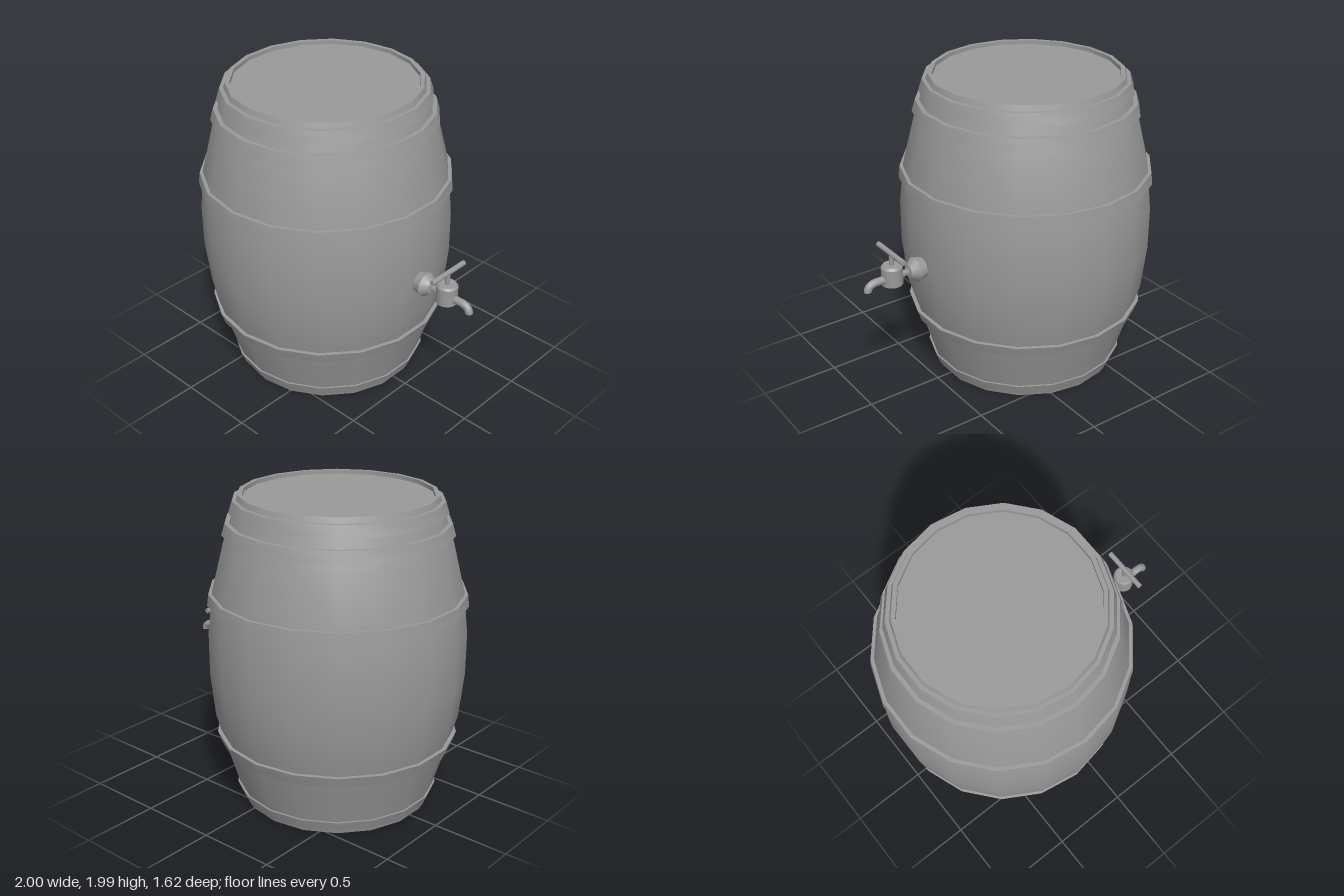
import * as THREE from 'three';
import { toCreasedNormals } from 'three/addons/utils/BufferGeometryUtils.js';

const material = new THREE.MeshStandardMaterial({ color: 0x999999 });

function addMesh(parent, name, geometry) {
  const mesh = new THREE.Mesh(geometry, material);
  mesh.name = name;
  parent.add(mesh);
  return mesh;
}

// Turned shape from [radius, height] pairs, listed from bottom to top
function turned(profile, sides) {
  const points = profile.map(([r, y]) => new THREE.Vector2(r, y));
  return toCreasedNormals(new THREE.LatheGeometry(points, sides), 0.6);
}

export function createModel() {
  const model = new THREE.Group();
  model.name = 'barrelWithTap';

  const barrel = new THREE.Group();
  barrel.name = 'barrel';
  barrel.position.x = -0.205;
  model.add(barrel);

  // Staves with a recessed lid at both ends
  addMesh(barrel, 'barrelBody', turned([
    [0, 0.025], [0.58, 0.025], [0.58, 0], [0.607, 0], [0.7, 0.31], [0.775, 0.57],
    [0.805, 0.86], [0.805, 1.13], [0.775, 1.4], [0.7, 1.7], [0.607, 1.985],
    [0.58, 1.985], [0.58, 1.96], [0, 1.96],
  ], 18));

  // Hoops: bottom height, top height, bottom radius, top radius
  const hoops = [
    [0.025, 0.092, 0.622, 0.647],
    [0.387, 0.46, 0.744, 0.768],
    [1.307, 1.38, 0.808, 0.799],
    [1.745, 1.818, 0.709, 0.688],
    [1.878, 1.951, 0.665, 0.642],
  ];
  for (const [y0, y1, r0, r1] of hoops) {
    addMesh(barrel, 'hoop', turned(
      [[r0 - 0.05, y0], [r0, y0], [r1, y1], [r1 - 0.05, y1]], 18));
  }

  const tap = new THREE.Group();
  tap.name = 'tap';
  tap.position.set(0.803, 0.867, 0);
  model.add(tap);

  // Flange and flared neck, turned around the x axis
  const flange = addMesh(tap, 'tapFlange', turned([
    [0, -0.25], [0.066, -0.25], [0.066, -0.213], [0.08, -0.162], [0.045, -0.115],
    [0.02, -0.11], [0.02, -0.095], [0.03, -0.045], [0, -0.045],
  ], 12));
  flange.rotation.z = -Math.PI / 2;

  addMesh(tap, 'tapBody', turned([
    [0, -0.043], [0.067, -0.043], [0.067, 0.072], [0.056, 0.086], [0, 0.086],
  ], 18));

  // Stem and cross handle
  const stem = addMesh(tap, 'tapStem', new THREE.CylinderGeometry(0.015, 0.015, 0.09, 12));
  stem.position.y = 0.12;
  const handle = addMesh(tap, 'tapHandle', new THREE.CylinderGeometry(0.017, 0.017, 0.3, 12));
  handle.position.y = 0.163;
  handle.rotation.x = Math.PI / 2;

  // Spout bending down
  const path = new THREE.CurvePath();
  const v = (x, y) => new THREE.Vector3(x, y, 0);
  path.add(new THREE.LineCurve3(v(0.04, 0), v(0.11, 0)));
  path.add(new THREE.CubicBezierCurve3(v(0.11, 0), v(0.147, 0), v(0.172, -0.018), v(0.172, -0.045)));
  addMesh(tap, 'tapSpout', new THREE.TubeGeometry(path, 16, 0.025, 12));
  const mouth = addMesh(tap, 'spoutMouth', new THREE.CircleGeometry(0.025, 12));
  mouth.position.set(0.172, -0.045, 0);
  mouth.rotation.x = Math.PI / 2;

  return model;
}
